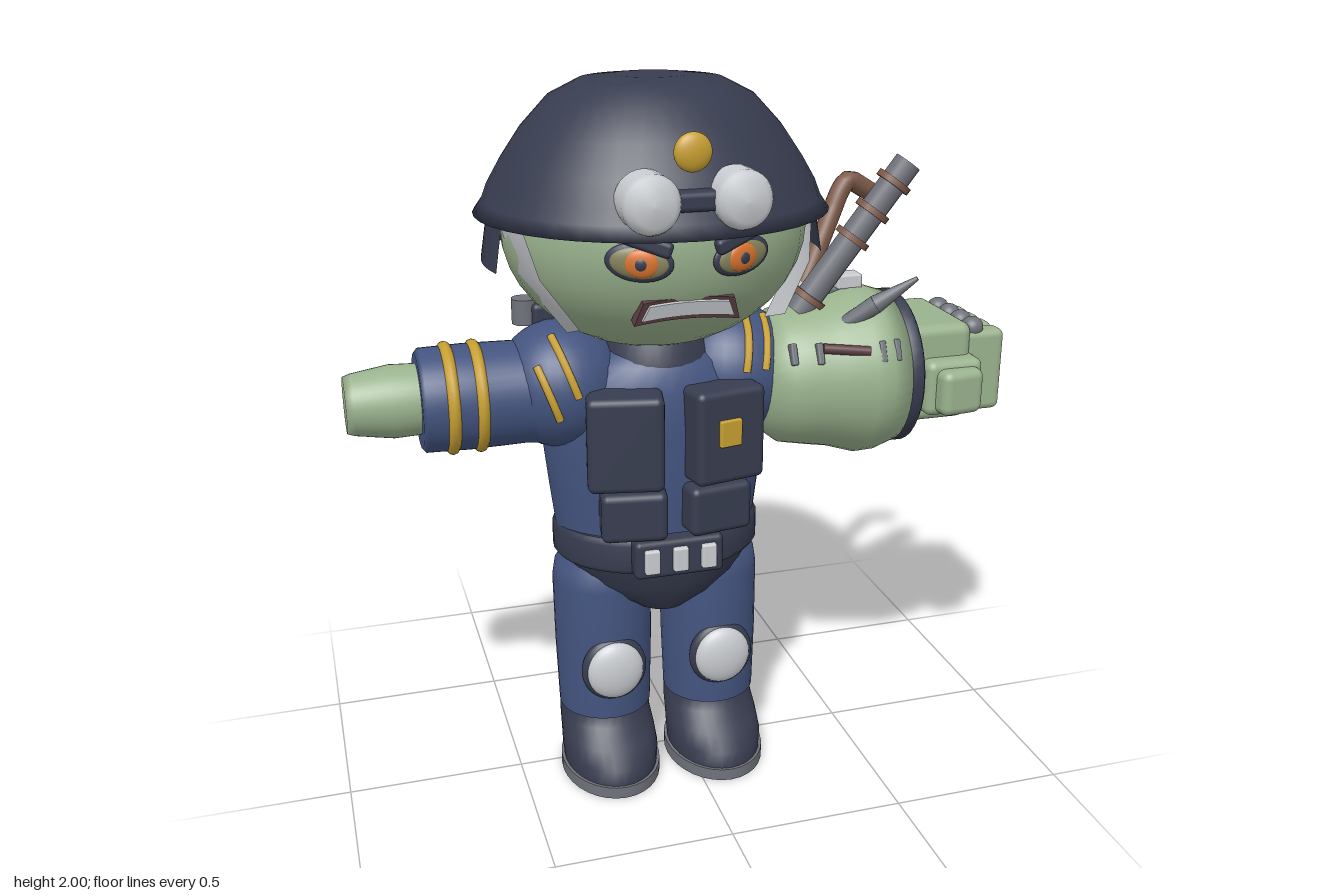
import * as THREE from 'three';
import { RoundedBoxGeometry } from 'three/addons/geometries/RoundedBoxGeometry.js';

const mat = (name, color, side = THREE.FrontSide) => {
  const m = new THREE.MeshStandardMaterial({ color, side });
  m.name = name;
  return m;
};
const V = (x, y, z) => new THREE.Vector3(x, y, z);

export function createModel() {
  const navy = mat('dark navy', 0x373c4f, THREE.DoubleSide), blue = mat('uniform blue', 0x43547f);
  const green = mat('skin green', 0x9ab28e), gold = mat('gold', 0xc8a032);
  const white = mat('pale grey', 0xc9ccd0, THREE.DoubleSide), grey = mat('steel grey', 0x6f727a);
  const brown = mat('rust brown', 0x7d5a49), orange = mat('iris orange', 0xdb7430);
  const maroon = mat('dark maroon', 0x5c3d42), olive = mat('eye olive', 0x85835c);
  const model = new THREE.Group();
  const body = new THREE.Group(); // everything but the big arm is symmetric about x = -0.08
  body.name = 'body';
  body.position.x = -0.08;
  model.add(body);

  const add = (parent, name, geo, material, p = [0, 0, 0], r = [0, 0, 0], s = [1, 1, 1]) => {
    const m = new THREE.Mesh(geo, material);
    m.name = name;
    m.position.set(...p);
    m.rotation.set(...r);
    m.scale.set(...s);
    parent.add(m);
    return m;
  };
  const box = (parent, name, material, p, size, radius = 0.015, r) =>
    add(parent, name, new RoundedBoxGeometry(...size, 3, radius), material, p, r);
  const ball = (parent, name, material, p, s, r) =>
    add(parent, name, new THREE.SphereGeometry(1, 32, 20), material, p, r, s);
  const rod = (parent, name, material, a, b, r0, r1 = r0) => {
    const m = add(parent, name, new THREE.CylinderGeometry(r1, r0, a.distanceTo(b), 16), material);
    m.position.copy(a).lerp(b, 0.5);
    m.quaternion.setFromUnitVectors(V(0, 1, 0), b.clone().sub(a).normalize());
    return m;
  };
  const lathe = (pts, n = 40) => new THREE.LatheGeometry(pts.map(p => new THREE.Vector2(...p)), n);

  // Stacked ellipses [y, zCentre, rx, rz], closed at both ends
  const loft = (rows, n = 32) => {
    const all = [[...rows[0].slice(0, 2), 0, 0], rows[0], ...rows, rows.at(-1), [...rows.at(-1).slice(0, 2), 0, 0]];
    const pos = [], idx = [];
    all.forEach(([y, zc, rx, rz]) => {
      for (let i = 0; i < n; i++) {
        const a = (i / n) * Math.PI * 2;
        pos.push(rx * Math.sin(a), y, zc + rz * Math.cos(a));
      }
    });
    for (let j = 0; j < all.length - 1; j++) {
      if (j === 1 || j === all.length - 3) continue; // duplicated rings keep the cap edges sharp
      for (let i = 0; i < n; i++) {
        const a = j * n + i, b = j * n + (i + 1) % n;
        idx.push(a, b, b + n, a, b + n, a + n);
      }
    }
    const g = new THREE.BufferGeometry();
    g.setAttribute('position', new THREE.Float32BufferAttribute(pos, 3));
    g.setIndex(idx);
    g.computeVertexNormals();
    return g;
  };

  // Torso, hips, belt and collar
  add(body, 'torso', loft([[0.74, 0, 0.285, 0.195], [0.9, 0, 0.305, 0.2], [1.08, 0, 0.325, 0.205],
    [1.19, 0, 0.31, 0.195], [1.26, 0, 0.22, 0.17], [1.3, 0, 0.14, 0.13]]), blue);
  add(body, 'hips', loft([[0.53, 0, 0.1, 0.14], [0.57, 0, 0.18, 0.17], [0.63, 0, 0.25, 0.2],
    [0.7, 0, 0.28, 0.22]]), navy);
  add(body, 'belt', loft([[0.685, 0, 0.285, 0.22], [0.7, 0, 0.297, 0.232], [0.77, 0, 0.297, 0.232],
    [0.785, 0, 0.285, 0.22]]), navy);
  add(body, 'collar', loft([[1.23, 0, 0.16, 0.17], [1.27, 0, 0.165, 0.17], [1.33, 0, 0.14, 0.14]]), navy);
  box(body, 'beltPouch', navy, [0, 0.745, 0.23], [0.25, 0.11, 0.06]);
  for (const x of [-0.08, 0, 0.08]) box(body, 'beltBuckle', white, [x, 0.745, 0.26], [0.042, 0.07, 0.03], 0.006);

  // Vest pouches and backpack
  for (const s of [-1, 1]) {
    box(body, 'chestPouch', navy, [s * 0.135, 1.08, 0.2], [0.205, 0.265, 0.12], 0.02, [0, s * 0.2, 0]);
    box(body, 'lowerPouch', navy, [s * 0.115, 0.87, 0.2], [0.18, 0.14, 0.11], 0.02, [0, s * 0.15, 0]);
  }
  box(body, 'badge', gold, [0.138, 1.095, 0.262], [0.065, 0.075, 0.02], 0.005, [0, 0.2, 0]);
  box(body, 'backpack', navy, [0, 1.07, -0.2], [0.46, 0.43, 0.1], 0.03);

  // Legs, boots and knee pads
  for (const s of [-1, 1]) {
    const leg = new THREE.Group();
    leg.name = s > 0 ? 'leftLeg' : 'rightLeg';
    leg.position.x = s * 0.16;
    body.add(leg);
    add(leg, 'trouser', loft([[0.2, 0.005, 0.134, 0.136], [0.4, 0, 0.14, 0.145], [0.6, -0.005, 0.142, 0.146],
      [0.645, -0.005, 0.135, 0.14], [0.69, -0.01, 0.1, 0.12]]), blue);
    add(leg, 'boot', loft([[0.03, 0.06, 0.134, 0.185], [0.08, 0.058, 0.138, 0.183], [0.12, 0.035, 0.136, 0.16],
      [0.16, 0.002, 0.133, 0.13], [0.21, -0.008, 0.13, 0.128]]), navy);
    add(leg, 'sole', loft([[0, 0.06, 0.143, 0.193], [0.035, 0.06, 0.143, 0.193]]), grey);
    ball(leg, 'kneePadRim', navy, [0, 0.36, 0.13], [0.095, 0.1, 0.035]);
    ball(leg, 'kneePad', white, [0, 0.36, 0.145], [0.082, 0.088, 0.037]);
  }

  // Head and face
  const head = new THREE.Group();
  head.name = 'head';
  body.add(head);
  ball(head, 'skull', green, [0, 1.62, 0.005], [0.41, 0.33, 0.37]);
  for (const s of [-1, 1]) {
    const eye = new THREE.Group();
    eye.name = 'eye';
    eye.position.set(s * 0.13, 1.595, 0.348);
    eye.rotation.set(0.05, s * 0.33, s * 0.08);
    head.add(eye);
    ball(eye, 'eyeOutline', navy, [0, 0, 0], [0.085, 0.05, 0.016]);
    ball(eye, 'eyeball', olive, [0, 0, 0.005], [0.074, 0.041, 0.016]);
    ball(eye, 'iris', orange, [-s * 0.005, 0, 0.012], [0.045, 0.036, 0.014]);
    ball(eye, 'pupil', navy, [-s * 0.005, 0, 0.019], [0.018, 0.018, 0.01]);
    box(head, 'eyebrow', navy, [s * 0.115, 1.645, 0.365], [0.13, 0.04, 0.03], 0.012, [0, s * 0.3, s * 0.33]);
    // Chin strap: a ribbon from helmet rim to jaw
    const front = [[0.385, 1.66, 0.17], [0.355, 1.54, 0.24], [0.27, 1.42, 0.295]];
    const back = [[0.42, 1.66, 0.02], [0.385, 1.52, 0.06], [0.27, 1.37, 0.14]];
    const strap = new THREE.BufferGeometry();
    strap.setAttribute('position', new THREE.Float32BufferAttribute(
      front.flatMap((p, i) => [s * p[0], p[1], p[2], s * back[i][0], back[i][1], back[i][2]]), 3));
    const order = [0, 2, 1, 1, 2, 3, 2, 4, 3, 3, 4, 5];
    strap.setIndex(s > 0 ? order : order.reverse());
    strap.computeVertexNormals();
    add(head, 'chinStrap', strap, white);
  }
  const mouth = (w, h, drop) => {
    const g = new THREE.Shape();
    g.moveTo(-w, -h - drop);
    g.quadraticCurveTo(0, -h + drop * 1.5, w, -h - drop);
    g.lineTo(w * 0.86, h * 0.7);
    g.quadraticCurveTo(0, h + drop, -w * 0.86, h * 0.7);
    return new THREE.ExtrudeGeometry(g, { depth: 0.03, bevelEnabled: false });
  };
  add(head, 'lips', mouth(0.138, 0.032, 0.01), maroon, [0, 1.475, 0.305], [0.3, 0, 0]);
  add(head, 'teeth', mouth(0.12, 0.02, 0.008), white, [0, 1.475, 0.314], [0.3, 0, 0]);

  // Helmet with neck guard, goggles and button
  const helmet = new THREE.Group();
  helmet.name = 'helmet';
  helmet.position.z = -0.01;
  body.add(helmet);
  add(helmet, 'dome', lathe([[0.4, 1.655], [0.475, 1.655], [0.45, 1.69], [0.435, 1.73], [0.4, 1.79],
    [0.345, 1.87], [0.27, 1.95], [0.19, 1.99], [0.1, 2], [0, 2]]), navy, [0, 0, 0], [0, 0, 0], [1, 1, 0.92]);
  add(helmet, 'neckGuard', new THREE.CylinderGeometry(0.435, 0.458, 0.14, 40, 1, true, 1.3, 3.68), navy,
    [0, 1.6, 0], [0, 0, 0], [1, 1, 0.96]);
  for (const s of [-1, 1]) {
    add(helmet, 'goggle', lathe([[0, 0.075], [0.05, 0.07], [0.068, 0.05], [0.074, 0.035], [0.074, -0.04]], 28),
      white, [s * 0.115, 1.745, 0.385], [Math.PI / 2, 0, 0]);
  }
  box(helmet, 'goggleBridge', navy, [0, 1.745, 0.39], [0.12, 0.05, 0.06]);
  ball(helmet, 'button', gold, [0, 1.857, 0.375], [0.048, 0.048, 0.022]);
  rod(helmet, 'buttonPost', navy, V(0, 1.85, 0.3), V(0, 1.857, 0.375), 0.025);

  // Shoulders with curved gold stripes on front and back
  const shoulder = (name, c, r, lines) => {
    ball(model, name, blue, c, [r, r, r]);
    for (const [x0, y0, x1, y1] of lines) for (const s of [-1, 1]) {
      const pts = [0, 0.25, 0.5, 0.75, 1].map(t => {
        const dx = x0 + (x1 - x0) * t - c[0], dy = y0 + (y1 - y0) * t - c[1];
        return V(c[0] + dx, c[1] + dy, c[2] + s * Math.sqrt(Math.max(0.001, r * r - dx * dx - dy * dy)));
      });
      add(model, 'shoulderStripe', new THREE.TubeGeometry(new THREE.CatmullRomCurve3(pts), 16, 0.011, 8), gold);
    }
  };
  shoulder('rightShoulder', [-0.345, 1.19, 0], 0.175, [[-0.43, 1.28, -0.38, 1.14], [-0.38, 1.345, -0.33, 1.2]]);
  shoulder('leftShoulder', [0.14, 1.19, 0], 0.185, [[0.13, 1.23, 0.16, 1.365], [0.185, 1.23, 0.215, 1.35]]);

  // Small right arm
  add(model, 'sleeve', lathe([[0, 0.73], [0.128, 0.73], [0.14, 0.72], [0.143, 0.6], [0.14, 0.45], [0.15, 0.36]]).scale(1, -1, 1).index
    ? lathe([[0.15, -0.36], [0.14, -0.45], [0.143, -0.6], [0.14, -0.72], [0.128, -0.73], [0, -0.73]].reverse()) : null,
    blue, [0, 1.175, 0], [0, 0, -Math.PI / 2]);
  for (const x of [-0.65, -0.575])
    add(model, 'sleeveBand', new THREE.TorusGeometry(0.136, 0.017, 10, 40), gold, [x, 1.175, 0], [0, Math.PI / 2, 0]);
  add(model, 'rightHand', lathe([[0, -0.92], [0.075, -0.92], [0.082, -0.9], [0.098, -0.8], [0.095, -0.72]]), green,
    [0, 1.182, 0.005], [0, 0, -Math.PI / 2]);
  rod(model, 'shoulderRadio', grey, V(-0.42, 1.34, -0.09), V(-0.42, 1.41, -0.09), 0.035);
  box(model, 'radioClip', navy, [-0.36, 1.36, -0.08], [0.09, 0.08, 0.07]);

  // Oversized left arm and cuff
  add(model, 'bigArm', lathe([[0, 0.18], [0.09, 0.185], [0.15, 0.21], [0.19, 0.26], [0.205, 0.34], [0.215, 0.4],
    [0.24, 0.48], [0.238, 0.53], [0.215, 0.6], [0, 0.6]]), green, [0, 1.165, 0.03], [0, 0, -Math.PI / 2], [1, 1, 1]);
  add(model, 'cuff', lathe([[0, 0.585], [0.21, 0.585], [0.22, 0.592], [0.22, 0.622], [0.21, 0.63], [0, 0.63]]), navy,
    [0, 1.165, 0.03], [0, 0, -Math.PI / 2]);

  // Fist
  box(model, 'palm', green, [0.71, 1.17, 0.012], [0.19, 0.28, 0.32], 0.03);
  for (let i = 0; i < 4; i++) {
    const z = -0.095 + i * 0.072;
    box(model, 'finger', green, [0.84, 1.16, z], [0.15, 0.24, 0.071], 0.022);
    ball(model, 'knuckle', grey, [0.825, 1.285, z], [0.032, 0.03, 0.032]);
  }
  box(model, 'thumbBase', green, [0.735, 1.14, 0.17], [0.17, 0.16, 0.1], 0.025);
  box(model, 'thumb', green, [0.74, 1.135, 0.21], [0.13, 0.13, 0.1], 0.025, [0, 0.12, 0]);

  // Scrap stuck in the big arm: pipe, crowbar, spike, splinter, plates and staples
  const p0 = V(0.32, 1.35, 0.055), p1 = V(0.615, 1.755, 0.085);
  rod(model, 'pipe', grey, p0, p1, 0.038);
  for (const t of [0.1, 0.5, 0.68, 0.87]) {
    const a = p0.clone().lerp(p1, t - 0.018), b = p0.clone().lerp(p1, t + 0.018);
    rod(model, 'pipeRing', brown, a, b, 0.051);
  }
  const bar = new THREE.CurvePath();
  const bend = [V(0.36, 1.33, -0.07), V(0.5, 1.6, -0.145), V(0.56, 1.665, -0.165), V(0.66, 1.605, -0.19)];
  bar.add(new THREE.LineCurve3(bend[0], bend[1]));
  bar.add(new THREE.QuadraticBezierCurve3(bend[1], V(0.535, 1.68, -0.16), bend[2]));
  bar.add(new THREE.LineCurve3(bend[2], bend[3]));
  add(model, 'crowbar', new THREE.TubeGeometry(bar, 32, 0.028, 12), brown);
  ball(model, 'crowbarTip', brown, bend[3].toArray(), [0.028, 0.028, 0.028]);
  rod(model, 'spike', grey, V(0.37, 1.29, 0.12), V(0.5, 1.39, 0.175), 0.018, 0.026);
  rod(model, 'spikeTip', grey, V(0.5, 1.39, 0.175), V(0.6, 1.465, 0.215), 0.026, 0.006);
  rod(model, 'splinter', maroon, V(0.34, 1.285, 0.2), V(0.465, 1.275, 0.23), 0.014);
  for (const [x, y] of [[0.32, 1.4], [0.48, 1.42]]) box(model, 'plate', white, [x, y, 0.01], [0.075, 0.04, 0.06], 0.006);
  box(model, 'plateBar', grey, [0.42, 1.39, 0], [0.2, 0.025, 0.05], 0.006);
  for (const [x, z] of [[0.26, 0.185], [0.33, 0.2], [0.5, 0.23], [0.545, 0.225]])
    box(model, 'staple', grey, [x, 1.27, z], [0.018, 0.06, 0.03], 0.005, [-0.4, 0, 0]);

  return model;
}
